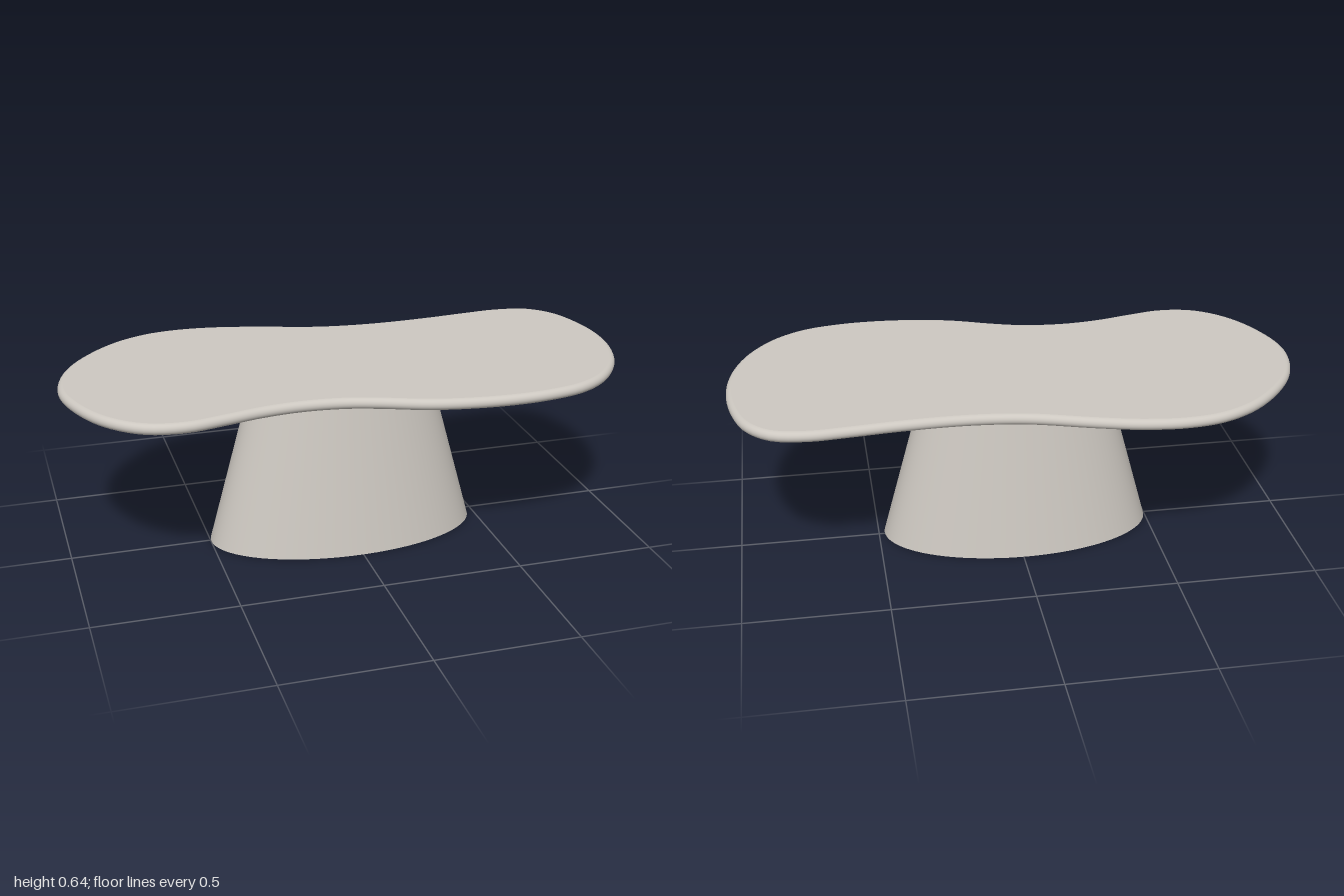
import * as THREE from 'three';

// Outline control points (x, z), starting at the right end and passing the back
const OUTLINE = [
  [-1, 0], [-0.95, -0.2], [-0.79, -0.4], [-0.64, -0.487], [-0.5, -0.51], [-0.35, -0.497],
  [-0.2, -0.46], [0, -0.4], [0.13, -0.38], [0.27, -0.374], [0.45, -0.382], [0.6, -0.396],
  [0.74, -0.404], [0.86, -0.378], [0.94, -0.3], [0.985, -0.17], [1, -0.03], [0.985, 0.11],
  [0.93, 0.26], [0.83, 0.39], [0.72, 0.46], [0.6, 0.49], [0.48, 0.5], [0.33, 0.492],
  [0.17, 0.462], [0, 0.4], [-0.1, 0.372], [-0.24, 0.36], [-0.38, 0.374], [-0.5, 0.403],
  [-0.64, 0.43], [-0.77, 0.407], [-0.88, 0.32], [-0.96, 0.18],
];
const BOTTOM = 0.604, TOP = 0.643;
const R = (TOP - BOTTOM) / 2;
const SEGMENTS = 160, ARC = 10;

const curve = new THREE.CatmullRomCurve3(
  OUTLINE.map(([x, z]) => new THREE.Vector3(x, 0, z)), true, 'centripetal');

// Outline moved inward by a distance
function loop(inset) {
  const points = [];
  for (let i = 0; i < SEGMENTS; i++) {
    const p = curve.getPointAt(i / SEGMENTS), t = curve.getTangentAt(i / SEGMENTS);
    points.push(new THREE.Vector2(p.x - t.z * inset, p.z + t.x * inset));
  }
  return points;
}

// Half-round rim swept around the outline
function rimGeometry() {
  const positions = [], index = [];
  for (let j = 0; j <= ARC; j++) {
    const a = -Math.PI / 2 + (Math.PI * j) / ARC;
    const y = (TOP + BOTTOM) / 2 + R * Math.sin(a);
    for (const p of loop(R * (1 - Math.cos(a)))) positions.push(p.x, y, p.y);
  }
  for (let j = 0; j < ARC; j++) {
    for (let i = 0; i < SEGMENTS; i++) {
      const k = (i + 1) % SEGMENTS;
      const a = j * SEGMENTS + i, b = j * SEGMENTS + k;
      const c = a + SEGMENTS, d = b + SEGMENTS;
      index.push(a, c, b, b, c, d);
    }
  }
  const geometry = new THREE.BufferGeometry();
  geometry.setAttribute('position', new THREE.Float32BufferAttribute(positions, 3));
  geometry.setIndex(index);
  geometry.computeVertexNormals();
  return geometry;
}

// Flat face closing the slab: side 1 faces up, -1 faces down
function faceGeometry(side) {
  const shape = new THREE.Shape(loop(R).map((p) => new THREE.Vector2(p.x, -side * p.y)));
  return new THREE.ShapeGeometry(shape)
    .rotateX((-side * Math.PI) / 2)
    .translate(0, side > 0 ? TOP : BOTTOM, 0);
}

export function createModel() {
  const stone = new THREE.MeshStandardMaterial({ color: 0xcdc8c1 });
  stone.name = 'warm grey';

  const model = new THREE.Group();
  model.name = 'table';
  const add = (parent, name, geometry) => {
    const mesh = new THREE.Mesh(geometry, stone);
    mesh.name = name;
    parent.add(mesh);
    return mesh;
  };

  // Tabletop
  const tabletop = new THREE.Group();
  tabletop.name = 'tabletop';
  model.add(tabletop);
  add(tabletop, 'roundedRim', rimGeometry());
  add(tabletop, 'topFace', faceGeometry(1));
  add(tabletop, 'undersideFace', faceGeometry(-1));

  // Tapered oval pedestal
  const height = BOTTOM + 0.002;
  const pedestal = new THREE.CylinderGeometry(1, 1, height, 96);
  const pos = pedestal.attributes.position;
  for (let i = 0; i < pos.count; i++) {
    const upper = pos.getY(i) > 0;
    pos.setX(i, pos.getX(i) * (upper ? 0.323 : 0.489));
    pos.setZ(i, pos.getZ(i) * (upper ? 0.167 : 0.253));
  }
  // Analytic normals of the oval cone keep the seam smooth
  const normal = pos.clone();
  const n = new THREE.Vector3();
  for (let i = 0; i < pos.count; i++) {
    const old = pedestal.attributes.normal;
    if (Math.abs(old.getY(i)) > 0.9) n.set(0, Math.sign(old.getY(i)), 0);
    else {
      const c = old.getX(i), s = old.getZ(i);
      n.set(c / 0.406, 0, s / 0.21);
      n.y = (n.x * c * 0.166 + n.z * s * 0.086) / height;
      n.normalize();
    }
    normal.setXYZ(i, n.x, n.y, n.z);
  }
  pedestal.setAttribute('normal', normal);
  add(model, 'pedestal', pedestal).position.set(-0.01, height / 2, 0.01);

  return model;
}
